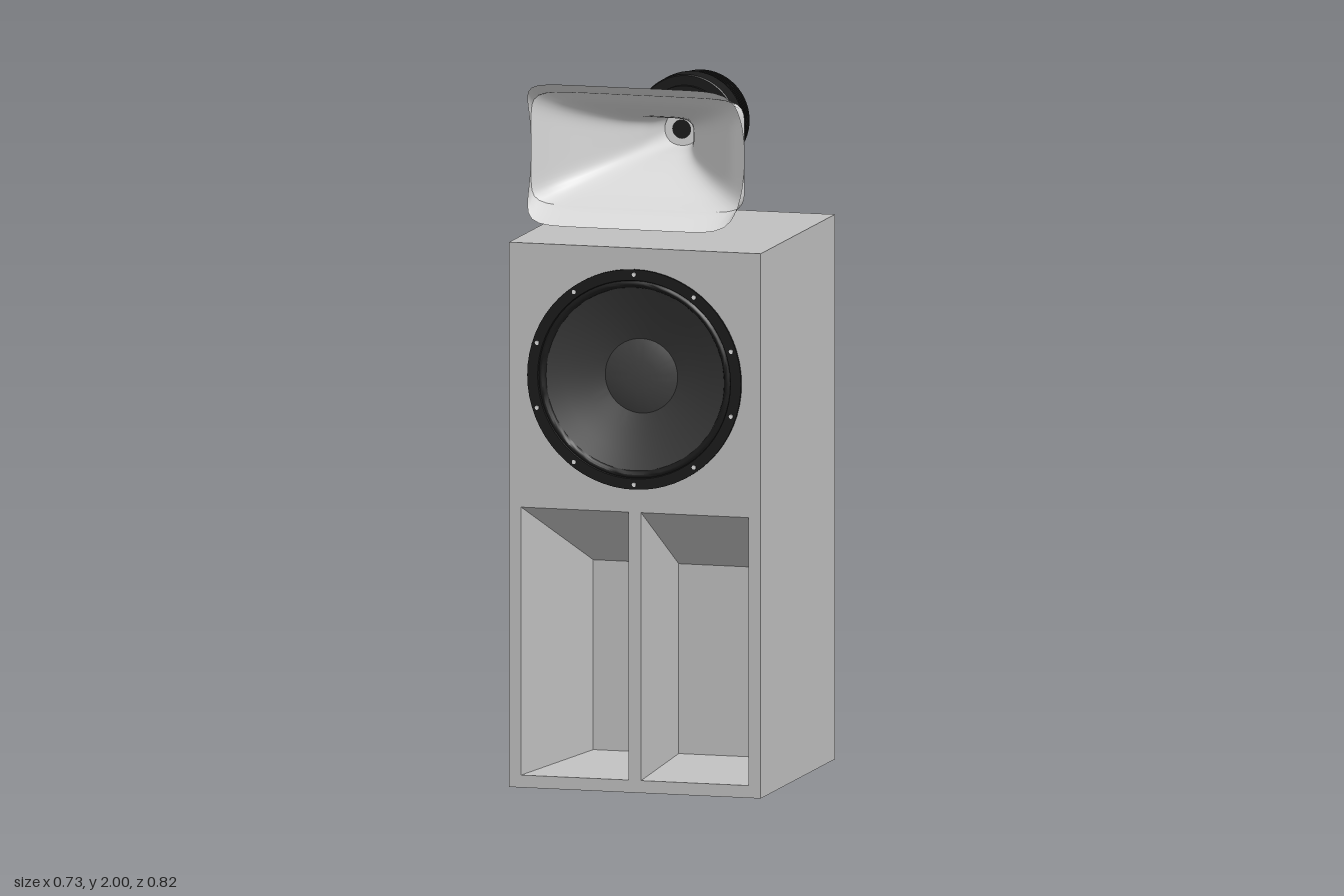
import * as THREE from 'three';
import { toCreasedNormals } from 'three/addons/utils/BufferGeometryUtils.js';

const material = (name, color, side = THREE.FrontSide) =>
  Object.assign(new THREE.MeshStandardMaterial({ color, side }), { name });

const W = 0.365, H = 1.535, FRONT = 0.32, BACK = -0.41;
const WOOFER_Y = 1.165, HORN_Y = 1.8;
// port opening at the front, and its smaller back wall
const PORT = { x: 0.33, y0: 0.035, y1: 0.79 };
const PORT_BACK = { x: 0.23, y0: 0.055, y1: 0.59, z: -0.05 };

function rectangle(Shape, x, y0, y1) {
  const s = new Shape();
  s.moveTo(-x, y0);
  s.lineTo(x, y0);
  s.lineTo(x, y1);
  s.lineTo(-x, y1);
  s.closePath();
  return s;
}

// box without its front (+z) face
function openBox(w, h, d) {
  const g = new THREE.BoxGeometry(w, h, d);
  const index = Array.from(g.index.array);
  index.splice(24, 6);
  g.setIndex(index);
  g.clearGroups();
  return g;
}

// moves the corners of a unit box to follow the port's taper
function taper(g, xFront, xBack) {
  const p = g.attributes.position;
  for (let i = 0; i < p.count; i++) {
    const front = p.getZ(i) > 0, end = front ? PORT : PORT_BACK;
    p.setXYZ(i, Math.sign(p.getX(i)) * (front ? xFront : xBack),
      p.getY(i) > 0 ? end.y1 : end.y0, front ? FRONT : PORT_BACK.z);
  }
  g.computeVertexNormals();
  return g;
}

// turned part with its axis along z; profile is [radius, z]
function turned(profile, sides = 64, crease = 0.5) {
  const g = new THREE.LatheGeometry(profile.map(([r, z]) => new THREE.Vector2(r, z)), sides);
  g.rotateX(Math.PI / 2);
  return toCreasedNormals(g, crease);
}

// skin over closed rings of points
function loft(rings) {
  const n = rings[0].length, index = [];
  for (let r = 0; r < rings.length - 1; r++) {
    for (let i = 0; i < n; i++) {
      const a = r * n + i, b = r * n + (i + 1) % n;
      index.push(a, b, a + n, b, b + n, a + n);
    }
  }
  const g = new THREE.BufferGeometry();
  g.setAttribute('position', new THREE.Float32BufferAttribute(rings.flat(2), 3));
  g.setIndex(index);
  g.computeVertexNormals();
  return g;
}

// ring that goes from a circle (power 2) to a rounded rectangle (high power)
function hornRing(a, b, z, power) {
  return Array.from({ length: 96 }, (_, i) => {
    const t = (i / 96) * Math.PI * 2, c = Math.cos(t), s = Math.sin(t);
    const r = (Math.abs(c) ** power + Math.abs(s) ** power) ** (-1 / power);
    return [a * c * r, b * s * r, z];
  });
}

export function createModel() {
  const cabinetGrey = material('cabinet grey', 0xc0c0c0);
  const hornGrey = material('horn light grey', 0xd8d8d8, THREE.DoubleSide);
  const black = material('black', 0x1a1a1a);
  const coneGrey = material('cone dark grey', 0x3a3a3a);
  const capGrey = material('dust cap grey', 0x404040);
  const steel = material('bolt steel', 0xe0e0e0);

  const model = new THREE.Group();
  const add = (parent, name, geometry, mat, x = 0, y = 0, z = 0) => {
    const mesh = new THREE.Mesh(geometry, mat);
    mesh.name = name;
    mesh.position.set(x, y, z);
    parent.add(mesh);
    return mesh;
  };
  const group = (name, y) => {
    const g = new THREE.Group();
    g.name = name;
    g.position.y = y;
    model.add(g);
    return g;
  };

  // cabinet
  const cabinet = group('cabinet', 0);
  add(cabinet, 'cabinetBody', openBox(2 * W, H, FRONT - BACK), cabinetGrey, 0, H / 2, (FRONT + BACK) / 2);
  const face = rectangle(THREE.Shape, W, 0, H);
  const wooferHole = new THREE.Path();
  wooferHole.absarc(0, WOOFER_Y, 0.28, 0, Math.PI * 2);
  face.holes.push(wooferHole, rectangle(THREE.Path, PORT.x, PORT.y0, PORT.y1));
  add(cabinet, 'baffle', new THREE.ShapeGeometry(face, 48), cabinetGrey, 0, 0, FRONT);

  // tapered port, seen from inside, with its central divider
  const port = openBox(1, 1, 1);
  port.setIndex(Array.from(port.index.array).reverse());
  add(cabinet, 'port', taper(port, PORT.x, PORT_BACK.x), cabinetGrey);
  add(cabinet, 'portDivider', taper(new THREE.BoxGeometry(1, 1, 1), 0.018, 0.018), cabinetGrey);

  // woofer
  const woofer = group('woofer', WOOFER_Y);
  woofer.position.z = FRONT;
  add(woofer, 'wooferFrame', turned([[0.31, 0], [0.31, 0.008], [0.28, 0.008], [0.278, 0.003]]), black);
  add(woofer, 'wooferSurround', turned([[0.278, 0.003], [0.274, 0.009], [0.268, 0.01],
    [0.262, 0.007], [0.258, -0.002]], 64, 1), black);
  add(woofer, 'wooferCone', turned([[0.258, -0.002], [0.21, -0.024], [0.155, -0.047], [0.105, -0.065]]), coneGrey);
  add(woofer, 'dustCap', turned([[0.105, -0.065], [0.08, -0.056], [0.045, -0.05], [0, -0.048]]), capGrey);
  for (let i = 0; i < 10; i++) {
    const t = Math.PI / 2 + (i * Math.PI) / 5;
    const bolt = new THREE.CylinderGeometry(0.006, 0.006, 0.006, 12).rotateX(Math.PI / 2);
    add(woofer, 'bolt', bolt, steel, 0.296 * Math.cos(t), 0.296 * Math.sin(t), 0.008);
  }

  // horn body: half width, half height and z along its length
  const horn = group('horn', HORN_Y);
  const flare = new THREE.CatmullRomCurve3([
    [0.05, 0.046, -0.165], [0.051, 0.046, -0.12], [0.063, 0.048, -0.05], [0.077, 0.053, 0],
    [0.122, 0.073, 0.1], [0.197, 0.107, 0.2], [0.25, 0.13, 0.25], [0.31, 0.16, 0.29],
  ].map((p) => new THREE.Vector3(...p)));
  const steps = 28;
  add(horn, 'hornBody', loft(flare.getPoints(steps).map((p, i) =>
    hornRing(p.x, p.y, p.z, 2 + 7 * (i / steps) ** 1.5))), hornGrey);

  // horn lip: long above and below, cut back at the sides
  const lip = [];
  for (let j = 0; j <= 8; j++) {
    const k = j / 8;
    lip.push(hornRing(0.31, 0.16, 0.29, 9).map(([x, y, z]) => {
      const f = (Math.abs(y) / 0.16) ** 2;
      return [x * (1 - 0.035 * f * k * k * (3 - 2 * k)), y * (1 + 0.25 * k ** 1.5), z + 0.117 * k * f];
    }));
  }
  add(horn, 'hornLip', loft(lip), hornGrey);
  add(horn, 'throatRing', new THREE.RingGeometry(0.026, 0.049, 32), hornGrey, 0, 0, -0.14);

  // compression driver with cooling fins
  const driver = group('driver', HORN_Y);
  const fins = [];
  for (let i = 0; i < 8; i++) {
    const z = -0.346 + i * 0.011;
    fins.push([0.126, z], [0.137, z + 0.002], [0.137, z + 0.006], [0.126, z + 0.008]);
  }
  add(driver, 'driverBody', turned([
    [0, -0.367], [0.07, -0.366], [0.105, -0.362], [0.12, -0.356], [0.124, -0.348],
    ...fins, [0.128, -0.255], [0.143, -0.255], [0.147, -0.251], [0.147, -0.188], [0.144, -0.185],
    [0.117, -0.185], [0.117, -0.173], [0.062, -0.173], [0.062, -0.164], [0, -0.164],
  ]), black);

  // post holding the driver above the cabinet
  add(model, 'post', new THREE.BoxGeometry(0.052, 0.15, 0.046), black, 0, H + 0.075, -0.25);

  return model;
}
